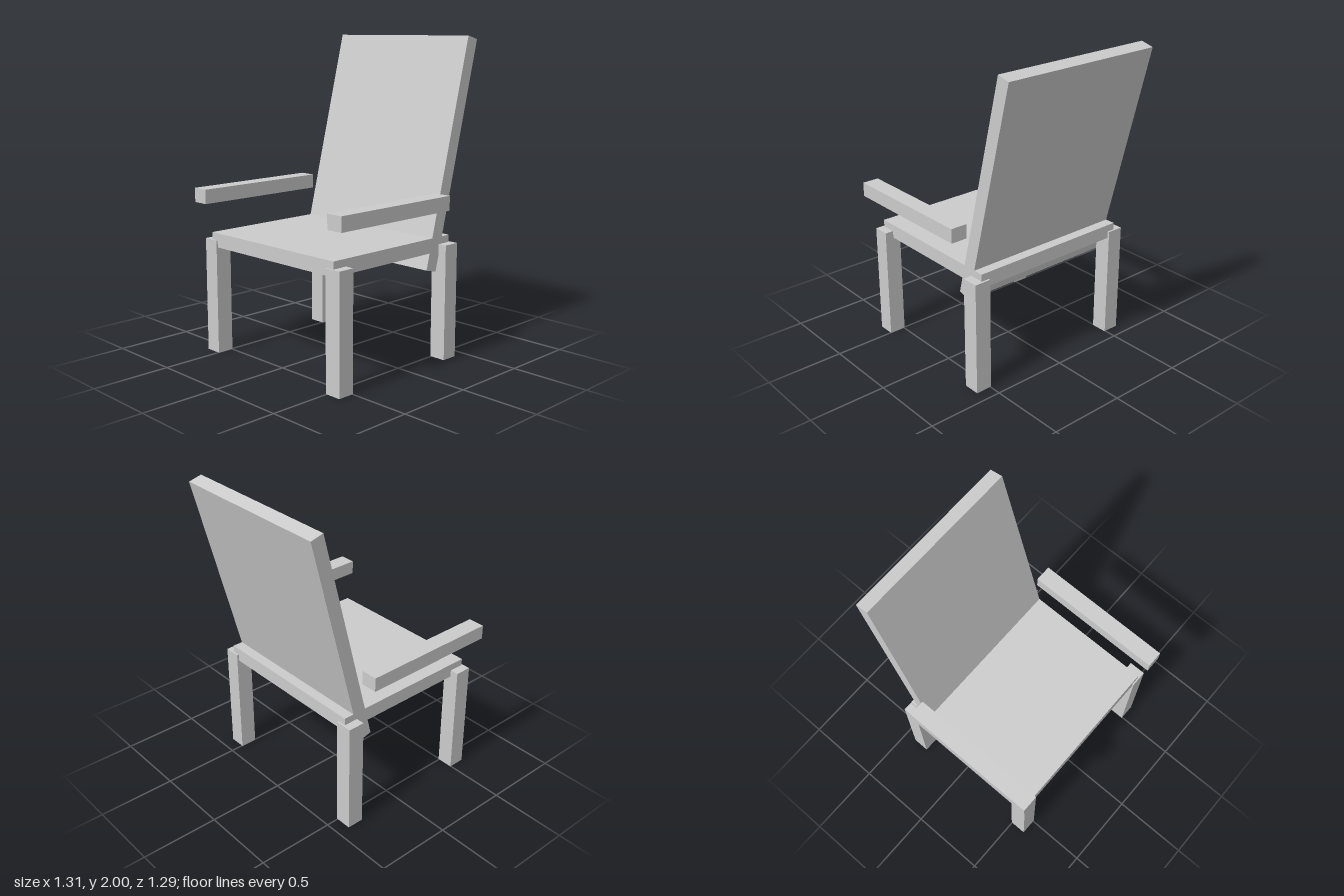
import * as THREE from 'three';

export function createModel() {
  const chair = new THREE.Group();
  chair.name = 'armchair';
  const material = new THREE.MeshStandardMaterial({ color: 0xcccccc, flatShading: true });

  // Adds a named box given its size and centre
  const addBox = (name, size, centre) => {
    const mesh = new THREE.Mesh(new THREE.BoxGeometry(...size), material);
    mesh.name = name;
    mesh.position.set(...centre);
    chair.add(mesh);
    return mesh;
  };

  addBox('seat', [1.094, 0.091, 1.0], [0, 0.734, 0.096]);

  // Reclined backrest, passing through the seat
  const backrest = addBox('backrest', [1.094, 1.46, 0.088], [0, 1.282, -0.42]);
  backrest.rotation.x = -0.25;

  // Legs and floating armrests, mirrored left and right
  for (const [side, x] of [['left', 1], ['right', -1]]) {
    addBox(`${side}FrontLeg`, [0.109, 0.734, 0.109], [x * 0.549, 0.367, 0.551]);
    addBox(`${side}BackLeg`, [0.109, 0.734, 0.109], [x * 0.549, 0.367, -0.363]);
    addBox(`${side}Armrest`, [0.109, 0.091, 0.914], [x * 0.602, 1.009, 0.185]);
  }

  return chair;
}
